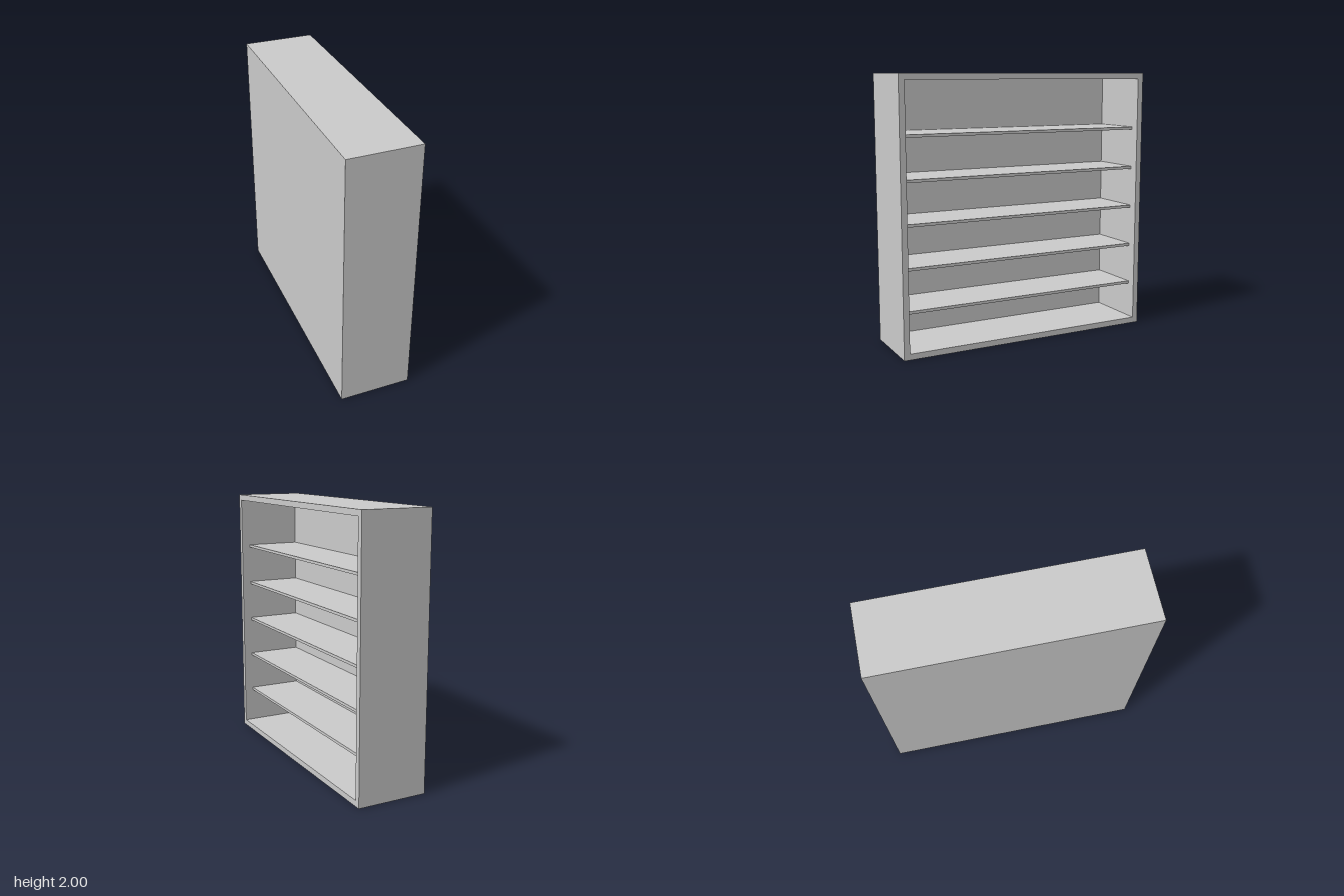
import * as THREE from 'three';

export function createModel() {
  const model = new THREE.Group();
  model.name = 'bookcase';
  const material = new THREE.MeshStandardMaterial({ color: 0xcccccc, flatShading: true });

  const width = 2, height = 2, depth = 0.535, wall = 0.044;
  const backX = -depth / 2 + wall; // inner face of the back panel

  // Frame: a square ring extruded along x, open towards +x
  const ring = new THREE.Shape([
    new THREE.Vector2(-width / 2, 0), new THREE.Vector2(width / 2, 0),
    new THREE.Vector2(width / 2, height), new THREE.Vector2(-width / 2, height),
  ]);
  const inner = width / 2 - wall;
  ring.holes.push(new THREE.Path([
    new THREE.Vector2(-inner, wall), new THREE.Vector2(-inner, height - wall),
    new THREE.Vector2(inner, height - wall), new THREE.Vector2(inner, wall),
  ]));
  const frameGeometry = new THREE.ExtrudeGeometry(ring, { depth, bevelEnabled: false });
  frameGeometry.translate(0, 0, -depth / 2).rotateY(Math.PI / 2);
  const frame = new THREE.Mesh(frameGeometry, material);
  frame.name = 'frame';
  model.add(frame);

  // Back panel fills the ring on the closed side
  const back = new THREE.Mesh(new THREE.BoxGeometry(wall, height - 2 * wall, 2 * inner), material);
  back.name = 'backPanel';
  back.position.set(backX - wall / 2, height / 2, 0);
  model.add(back);

  // Five shelves, set back slightly from the opening
  const shelfFront = 0.2, thickness = 0.021;
  const shelfGeometry = new THREE.BoxGeometry(shelfFront - backX, thickness, 2 * inner);
  for (let i = 0; i < 5; i++) {
    const shelf = new THREE.Mesh(shelfGeometry, material);
    shelf.name = `shelf${i + 1}`;
    shelf.position.set((shelfFront + backX) / 2, 0.322 + i * 0.3125, 0);
    model.add(shelf);
  }
  return model;
}
